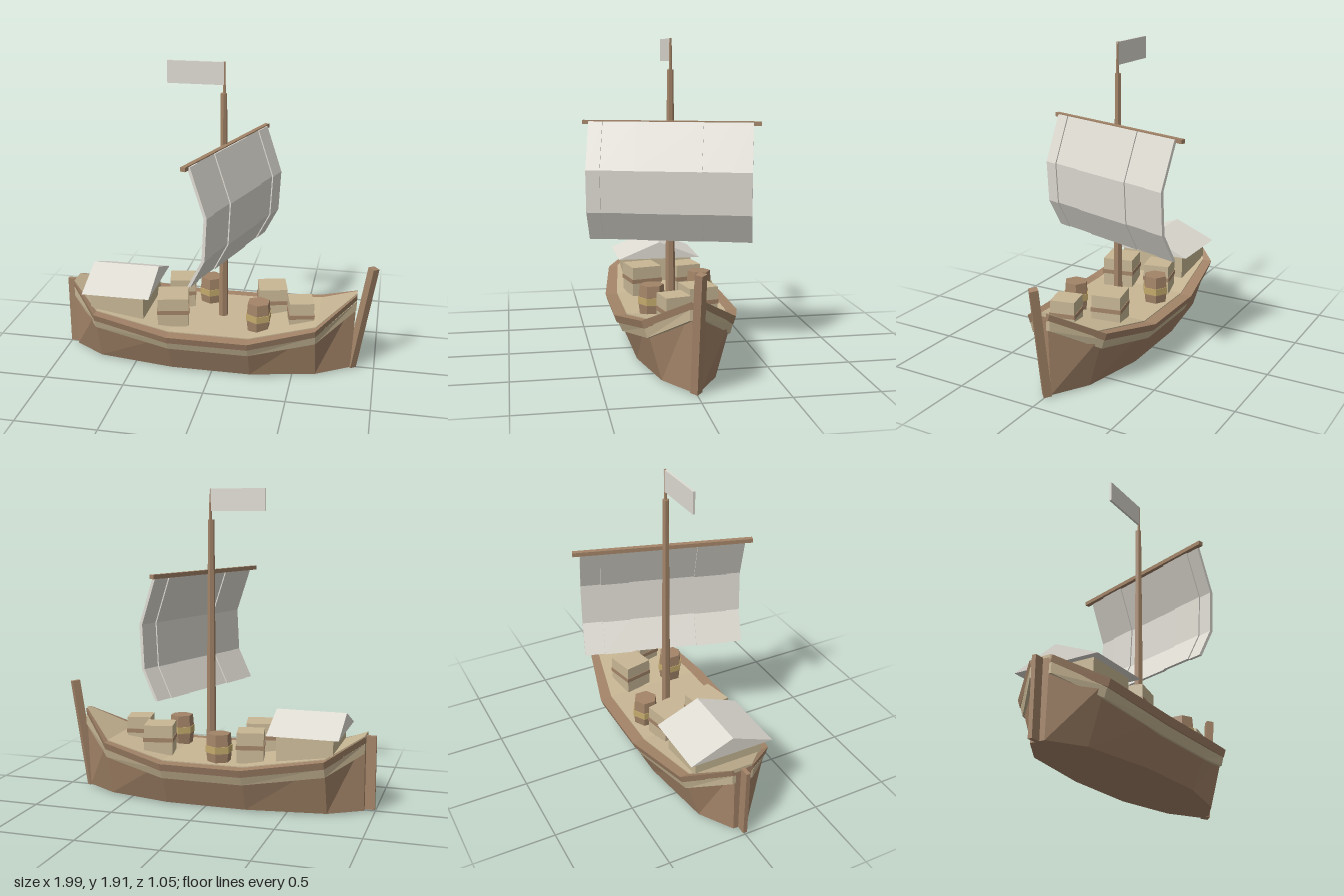
import * as THREE from 'three';

const mat = (name, color) => {
  const m = new THREE.MeshStandardMaterial({ color, flatShading: true });
  m.name = name;
  return m;
};

export function createModel() {
  const brown = mat('brown wood', 0xa38468);
  const tan = mat('tan wood', 0xc8b795);
  const cloth = mat('cloth', 0xdedbd2);
  const gold = mat('barrel hoop', 0xc4aa6c);
  const ship = new THREE.Group();
  ship.name = 'sailingShip';

  const add = (name, geo, material, x = 0, y = 0, z = 0, parent = ship) => {
    const m = new THREE.Mesh(geo, material);
    m.name = name;
    m.position.set(x, y, z);
    parent.add(m);
    return m;
  };
  const box = (w, h, d) => new THREE.BoxGeometry(w, h, d);

  // Skin a row of closed cross-sections and cap both ends
  const loft = (rings) => {
    const p = [];
    const tri = (a, b, c) => p.push(...a, ...b, ...c);
    const n = rings[0].length;
    for (let i = 0; i < rings.length - 1; i++) {
      for (let j = 0; j < n; j++) {
        const k = (j + 1) % n, r = rings[i], s = rings[i + 1];
        tri(r[j], s[j], s[k]);
        tri(r[j], s[k], r[k]);
      }
    }
    const first = rings[0], last = rings[rings.length - 1];
    for (let j = 1; j < n - 1; j++) {
      tri(first[0], first[j], first[j + 1]);
      tri(last[0], last[j + 1], last[j]);
    }
    const g = new THREE.BufferGeometry();
    g.setAttribute('position', new THREE.Float32BufferAttribute(p, 3));
    g.computeVertexNormals();
    return g;
  };

  // Hull stations: x, sheer height, rim half width, bottom half width, deck half width
  const stations = [
    [-0.94, 0.465, 0.075, 0.045, 0.06],
    [-0.74, 0.355, 0.30, 0.17, 0.24],
    [-0.26, 0.285, 0.375, 0.24, 0.30],
    [0.24, 0.285, 0.375, 0.24, 0.30],
    [0.64, 0.36, 0.27, 0.155, 0.215],
    [0.87, 0.515, 0.04, 0.025, 0.018],
  ];
  const sideAt = ([, top, w, b], y) => b + (Math.max(w - 0.02, b) - b) * (y - 0.01) / (top - 0.01);

  add('hull', loft(stations.map((s) => {
    const [x, top, , b] = s, y = top - 0.01, h = sideAt(s, y);
    const xb = x > 0.8 ? x - 0.02 : x;
    return [[xb, 0.01, -b], [xb, 0.01, b], [x, y, h], [x, y, -h]];
  })), brown);
  add('deck', loft(stations.map(([x, top, , , d]) =>
    [[x, top - 0.02, -d], [x, top - 0.02, d], [x, top + 0.006, d], [x, top + 0.006, -d]])), tan);

  // Rim and wale on both sides
  const strip = (section, side) => loft(stations.map((s) => {
    const ring = section(s).map(([y, z]) => [s[0], y, z * side]);
    return side > 0 ? ring : ring.reverse();
  }));
  const rim = ([, top, w, , d]) => [[top - 0.045, w - 0.015], [top, w], [top, d], [top - 0.045, d - 0.01]];
  const wale = (s) => {
    const hi = s[1] - 0.04, lo = s[1] - 0.1;
    const a = sideAt(s, lo), b = sideAt(s, hi);
    return [[lo, a + 0.014], [hi, b + 0.014], [hi, b - 0.01], [lo, a - 0.01]];
  };
  for (const [side, label] of [[1, 'left'], [-1, 'right']]) {
    add(label + 'Rim', strip(rim, side), brown);
    add(label + 'Wale', strip(wale, side), tan);
  }

  // Posts at the two ends
  add('sternPost', box(0.07, 0.45, 0.026), brown, -0.965, 0.235, 0);
  const stem = add('stemPost', new THREE.CylinderGeometry(0.034, 0.034, 0.69, 4), brown, 0.907, 0.347, 0);
  stem.rotation.z = -0.158;

  // Mast, top pole and pennant
  add('mast', new THREE.CylinderGeometry(0.02, 0.031, 1.45, 6), brown, 0.03, 1.005, 0);
  add('topPole', new THREE.CylinderGeometry(0.008, 0.01, 0.2, 6), brown, 0.034, 1.815, 0);
  add('pennant', box(0.35, 0.135, 0.014), cloth, -0.135, 1.847, 0);

  // Yard with a bellied sail of five staggered panels
  const rig = new THREE.Group();
  rig.name = 'sailRig';
  rig.position.x = 0.06;
  rig.rotation.y = -0.297;
  ship.add(rig);
  add('yard', box(0.03, 0.025, 1.09), brown, -0.003, 1.412, 0, rig);
  const belly = [[0, 1.418], [0.105, 1.13], [0.09, 0.87], [-0.005, 0.69]];
  const seams = [-0.5, -0.375, -0.2, 0.21, 0.418, 0.505];
  for (let i = 0; i < 5; i++) {
    const off = i % 2 ? -0.008 : 0;
    const outline = [...belly.map(([x, y]) => [x + off, y]),
      ...belly.map(([x, y]) => [x + off + 0.02, y]).reverse()];
    const shape = new THREE.Shape(outline.map(([x, y]) => new THREE.Vector2(x, y)));
    const geo = new THREE.ExtrudeGeometry(shape, { depth: seams[i + 1] - seams[i], bevelEnabled: false });
    add('sailPanel', geo, cloth, 0, 0, seams[i], rig);
  }

  // Cabin with gabled roof
  add('cabin', box(0.34, 0.2, 0.44), tan, -0.61, 0.385, 0);
  add('cabinRoof', loft([-0.82, -0.39].map((x) =>
    [[x, 0.478, -0.27], [x, 0.478, 0.27], [x, 0.588, 0]])), cloth);

  // Crates: x, z, size
  for (const [x, z, size] of [[-0.265, -0.14, 0.162], [-0.265, 0.135, 0.192],
    [0.328, -0.114, 0.178], [0.53, 0.067, 0.15]]) {
    const crate = new THREE.Group();
    crate.name = 'crate';
    crate.position.set(x, 0, z);
    crate.rotation.y = 0.21;
    ship.add(crate);
    add('crateBox', box(size, 0.195, size), tan, 0, 0.377, 0, crate);
    add('crateBand', box(size + 0.008, 0.026, size + 0.008), brown, 0, 0.385, 0, crate);
  }

  // Barrels: x, z, top height
  for (const [x, z, top] of [[-0.085, -0.205, 0.46], [0.28, 0.155, 0.475]]) {
    const barrel = new THREE.Group();
    barrel.name = 'barrel';
    barrel.position.set(x, top - 0.19, z);
    ship.add(barrel);
    const profile = [[0, 0], [0.07, 0], [0.078, 0.07], [0.078, 0.12], [0.072, 0.19], [0, 0.19]];
    add('barrelBody', new THREE.LatheGeometry(profile.map(([r, y]) => new THREE.Vector2(r, y)), 6),
      brown, 0, 0, 0, barrel);
    add('barrelHoop', new THREE.CylinderGeometry(0.083, 0.083, 0.042, 6), gold, 0, 0.098, 0, barrel);
  }

  // Stand on the ground, centred
  const bounds = new THREE.Box3().setFromObject(ship);
  const c = bounds.getCenter(new THREE.Vector3());
  ship.position.set(-c.x, -bounds.min.y, -c.z);
  const model = new THREE.Group();
  model.name = 'model';
  model.add(ship);
  return model;
}
